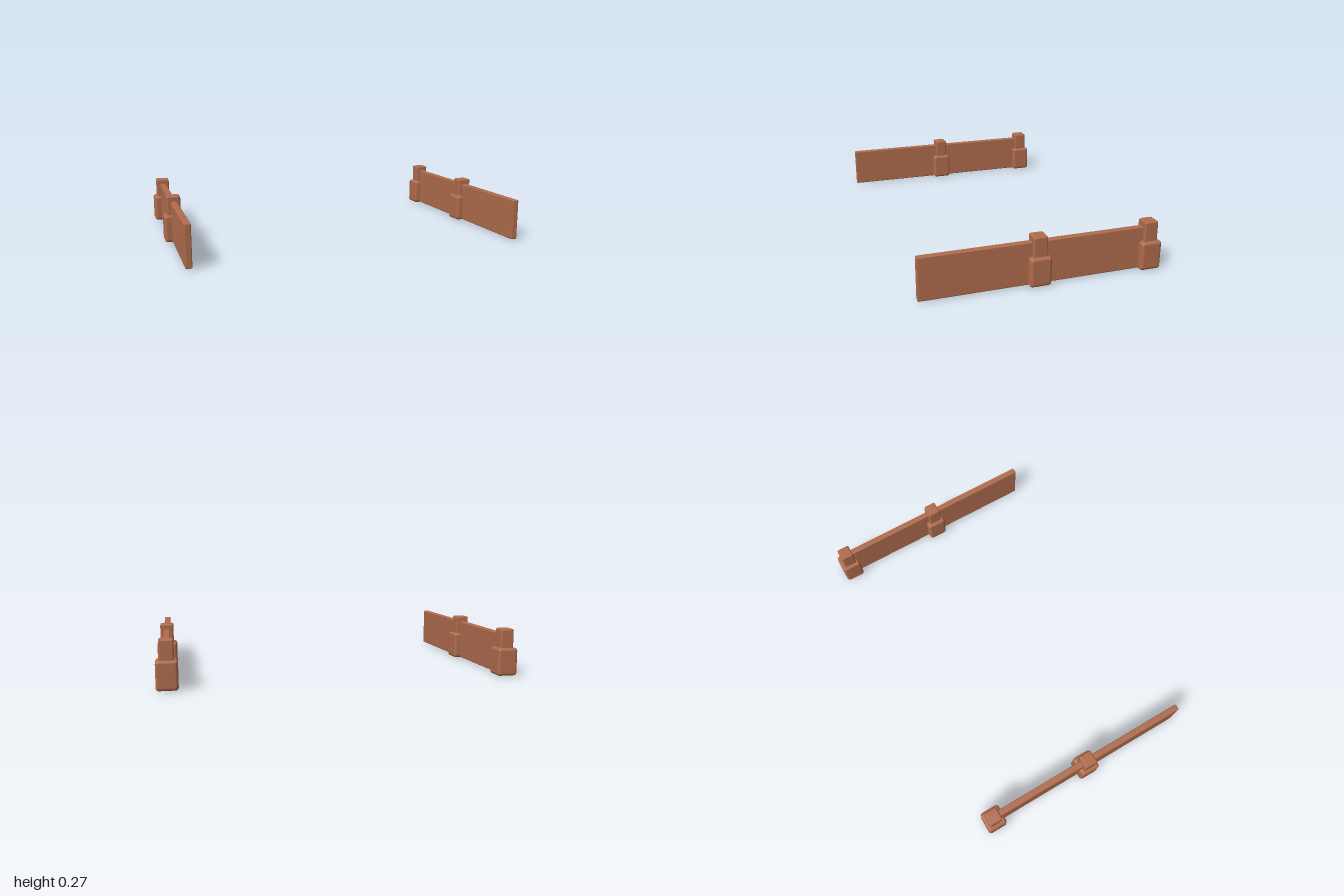
import * as THREE from 'three';
import { RoundedBoxGeometry } from 'three/addons/geometries/RoundedBoxGeometry.js';

export function createModel() {
  const model = new THREE.Group();
  model.name = 'fencePair';
  const wood = new THREE.MeshStandardMaterial({ color: 0xb06c4d });
  wood.name = 'reddish brown wood';

  // Softly bevelled box given by its x/z centre and its bottom and top heights
  const block = (parent, name, width, depth, bottom, top, z, radius) => {
    const geometry = new RoundedBoxGeometry(width, top - bottom, depth, 2, radius);
    const mesh = new THREE.Mesh(geometry, wood);
    mesh.name = name;
    mesh.position.set(0, (bottom + top) / 2, z);
    parent.add(mesh);
  };

  const posts = [['middle', 0.028], ['back', -0.598]];
  for (const [side, x] of [['left', 0.942], ['right', -0.942]]) {
    const fence = new THREE.Group();
    fence.name = side + 'Fence';
    fence.position.x = x;

    // Each panel runs forward from its post to the next one
    block(fence, 'frontPanel', 0.036, 0.635, 0.002, 0.235, 0.3385, 0.006);
    block(fence, 'backPanel', 0.036, 0.635, 0.002, 0.235, -0.2825, 0.006);

    // Posts with a thicker foot
    for (const [label, z] of posts) {
      block(fence, label + 'Post', 0.077, 0.077, 0.05, 0.266, z, 0.009);
      block(fence, label + 'PostFoot', 0.116, 0.116, 0, 0.158, z, 0.016);
    }
    model.add(fence);
  }
  return model;
}
